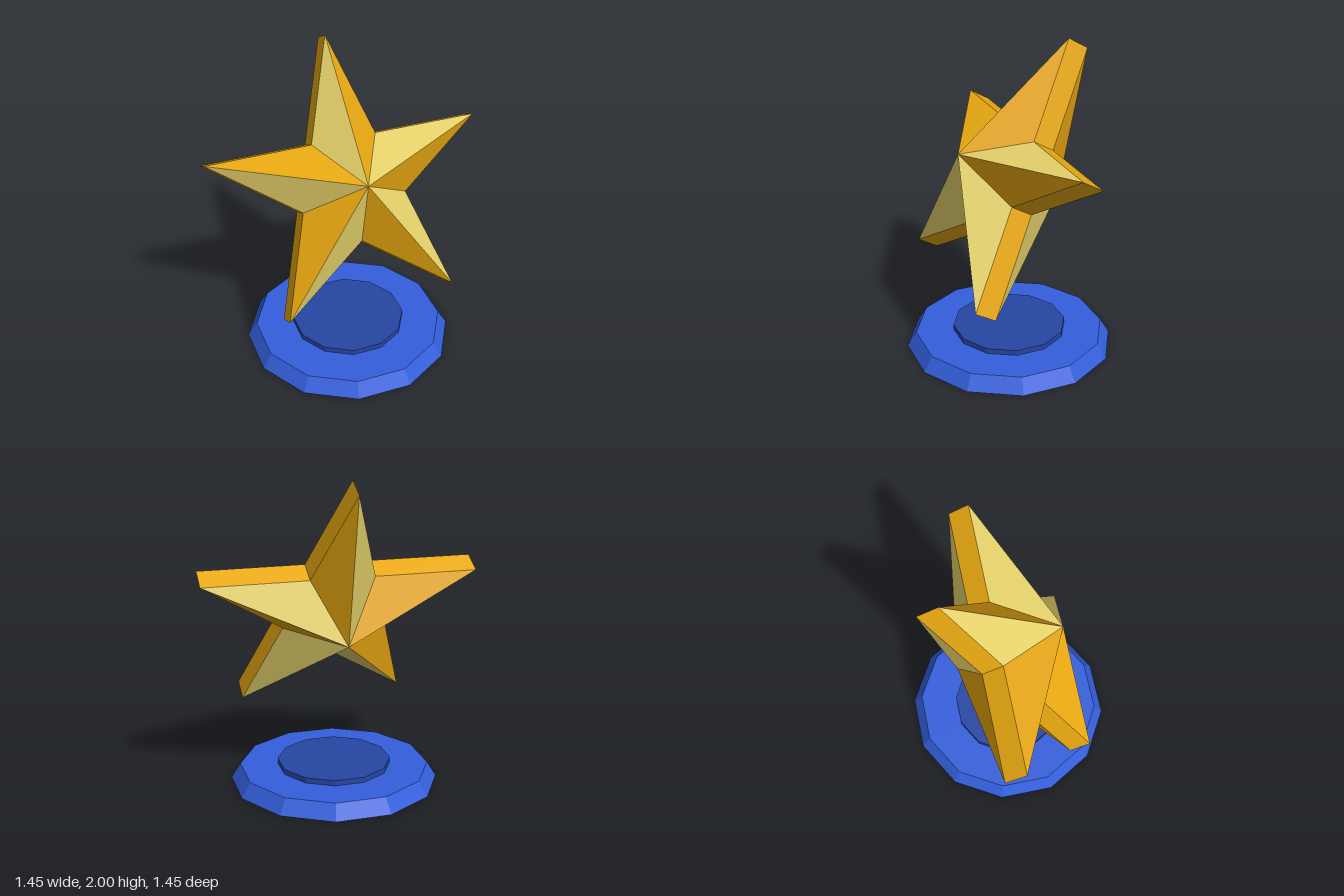
import * as THREE from 'three';

const CENTRE = 0.037;    // shared x and z of the star and the base
const TIP = 0.914, INNER = 0.35, HALF = 0.073, APEX = 0.38;

function material(name, color) {
  const m = new THREE.MeshStandardMaterial({ color });
  m.name = name;
  return m;
}

// Faceted mesh from a list of triangles, each three Vector3 corners
function facets(name, triangles, mat) {
  const geo = new THREE.BufferGeometry().setFromPoints(triangles.flat());
  geo.computeVertexNormals();
  const mesh = new THREE.Mesh(geo, mat);
  mesh.name = name;
  return mesh;
}

// Point of the star outline; step counts tenths of a turn from the top tip
function outline(step, z) {
  const r = step % 2 === 0 ? TIP : INNER;
  const a = Math.PI / 2 + step * Math.PI / 5;
  return new THREE.Vector3(r * Math.cos(a), r * Math.sin(a), z);
}

function createStar(gold, pale) {
  const star = new THREE.Group();
  star.name = 'star';
  const front = new THREE.Vector3(0, 0, APEX);
  const back = new THREE.Vector3(0, 0, -APEX);
  const goldFacets = [], paleFacets = [], rim = [];

  for (let i = 0; i < 10; i++) {
    const pf = outline(i, HALF), qf = outline(i + 1, HALF);
    const pb = outline(i, -HALF), qb = outline(i + 1, -HALF);
    // Each arm has one pale and one gold half, the same on front and back
    const side = i % 2 === 0 ? paleFacets : goldFacets;
    side.push([front, pf, qf], [back, qb, pb]);
    rim.push([pb, qb, qf], [pb, qf, pf]);
  }

  star.add(
    facets('starPaleFacets', paleFacets, pale),
    facets('starGoldFacets', goldFacets, gold),
    facets('starRim', rim, gold),
  );
  // Turned to the corner and tipped back
  star.rotation.set(-Math.PI / 6, Math.PI / 4, 0, 'YXZ');
  star.position.set(CENTRE, 1.171, CENTRE);
  return star;
}

// Twelve-sided disc between two heights
function disc(name, topRadius, bottomRadius, y0, y1, mat) {
  const geo = new THREE.CylinderGeometry(topRadius, bottomRadius, y1 - y0, 12).toNonIndexed();
  geo.computeVertexNormals();
  const mesh = new THREE.Mesh(geo, mat);
  mesh.name = name;
  mesh.position.set(CENTRE, (y0 + y1) / 2, CENTRE);
  return mesh;
}

export function createModel() {
  const gold = material('gold', 0xe8a811);
  const pale = material('paleGold', 0xe8d46c);
  const blue = material('blue', 0x345fdc);
  const darkBlue = material('darkBlue', 0x2746a4);

  const model = new THREE.Group();
  model.name = 'floatingStar';
  model.add(
    createStar(gold, pale),
    disc('base', 0.612, 0.672, 0, 0.095, blue),
    disc('basePlate', 0.367, 0.367, 0.095, 0.13, darkBlue),
  );
  return model;
}
